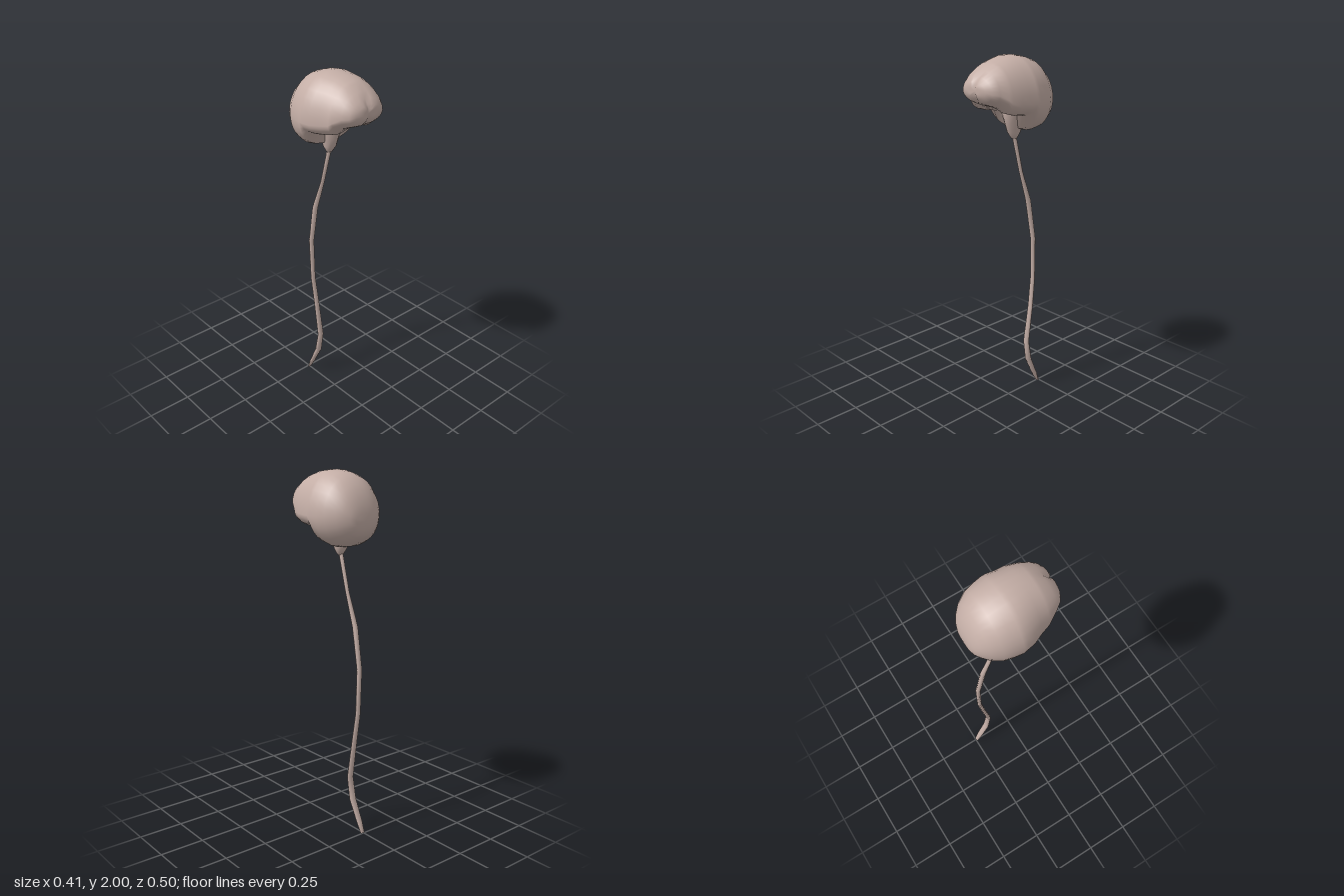
import * as THREE from 'three';

const material = new THREE.MeshStandardMaterial({ color: 0xc4aea6, roughness: 0.9 });

// Skin a list of closed rings (each a list of [x, y, z]) and close both ends
function loft(name, rings, firstTip, lastTip) {
  const n = rings[0].length;
  const points = [...rings.flat(), firstTip, lastTip];
  const first = points.length - 2, last = points.length - 1, end = (rings.length - 1) * n;
  const index = [];
  for (let j = 0; j < n; j++) {
    const k = (j + 1) % n;
    for (let i = 0; i < rings.length - 1; i++) {
      const a = i * n + j, b = i * n + k;
      index.push(a, b, b + n, a, b + n, a + n);
    }
    index.push(first, k, j, last, end + j, end + k);
  }
  const geometry = new THREE.BufferGeometry();
  geometry.setAttribute('position', new THREE.Float32BufferAttribute(points.flat(), 3));
  geometry.setIndex(index);
  geometry.computeVertexNormals();
  const mesh = new THREE.Mesh(geometry, material);
  mesh.name = name;
  return mesh;
}

// Cerebrum and cerebellum: sections from back to front
function brain() {
  // z, half width, top, widest height, bottom, raise of the underside at the midline
  const sections = [
    [-0.238, 0.06, 1.785, 1.75, 1.705, 0],
    [-0.228, 0.09, 1.83, 1.76, 1.675, 0],
    [-0.21, 0.118, 1.875, 1.77, 1.655, 0],
    [-0.18, 0.15, 1.925, 1.77, 1.63, 0],
    [-0.13, 0.182, 1.97, 1.77, 1.607, 0],
    [-0.08, 0.195, 1.988, 1.77, 1.6, 0],
    [-0.035, 0.203, 1.997, 1.77, 1.615, 0],
    [-0.012, 0.203, 2.0, 1.77, 1.685, 0.01],
    [0.03, 0.195, 1.998, 1.77, 1.688, 0.035],
    [0.08, 0.182, 1.99, 1.775, 1.692, 0.045],
    [0.13, 0.167, 1.975, 1.785, 1.705, 0.045],
    [0.148, 0.158, 1.967, 1.80, 1.75, 0],
    [0.19, 0.135, 1.94, 1.825, 1.765, 0],
    [0.222, 0.112, 1.91, 1.83, 1.78, 0],
    [0.24, 0.08, 1.885, 1.84, 1.80, 0],
    [0.249, 0.035, 1.865, 1.84, 1.82, 0],
  ];
  const sides = 32;
  const rings = sections.map(([z, w, top, mid, bottom, raise]) => {
    const shift = z > 0.03 ? 0.009 : 0;
    return Array.from({ length: sides }, (_, j) => {
      const a = (j / sides) * Math.PI * 2;
      const c = Math.cos(a), s = Math.sin(a);
      const x = w * Math.sign(c) * Math.abs(c) ** (s > 0 ? 0.92 : 0.8);
      const centre = Math.exp(-((x / 0.08) ** 2));
      const y = s > 0 ? mid + (top - mid) * s : mid + (mid - bottom) * s - raise * centre * s;
      // Groove between the two frontal lobes
      const groove = z > 0.2 ? 0.012 * Math.exp(-((x / 0.012) ** 2)) : 0;
      return [x + shift, y, z - groove];
    });
  });
  return loft('brain', rings, [0, 1.745, -0.24], [0.009, 1.84, 0.238]);
}

// Upright tube with oval rings: rows are x, y, z, half width, half depth
function stalk(name, rows, sides) {
  const rings = rows.map(([x, y, z, w, d]) => Array.from({ length: sides }, (_, j) => {
    const a = (j / sides) * Math.PI * 2;
    return [x + w * Math.cos(a), y, z - d * Math.sin(a)];
  }));
  return loft(name, rings, rows[0].slice(0, 3), rows[rows.length - 1].slice(0, 3));
}

export function createModel() {
  const group = new THREE.Group();
  group.name = 'brainAndSpinalCord';
  group.add(brain());

  group.add(stalk('brainstem', [
    [0, 1.555, -0.04, 0.018, 0.012],
    [0, 1.59, -0.04, 0.034, 0.038],
    [0, 1.64, -0.04, 0.042, 0.056],
    [0, 1.69, -0.035, 0.055, 0.066],
    [0, 1.74, -0.03, 0.06, 0.06],
  ], 14));

  group.add(stalk('spinalCord', [
    [0.002, 0.002, -0.243, 0.014, 0.006],
    [0.003, 0.06, -0.216, 0.019, 0.013],
    [0.006, 0.18, -0.16, 0.021, 0.016],
    [0.008, 0.31, -0.139, 0.02, 0.013],
    [0.007, 0.53, -0.172, 0.017, 0.012],
    [0.001, 0.7, -0.194, 0.015, 0.012],
    [-0.004, 0.95, -0.197, 0.015, 0.014],
    [-0.005, 1.18, -0.158, 0.015, 0.016],
    [-0.002, 1.36, -0.096, 0.012, 0.01],
    [0, 1.56, -0.044, 0.012, 0.012],
  ], 8));

  return group;
}
